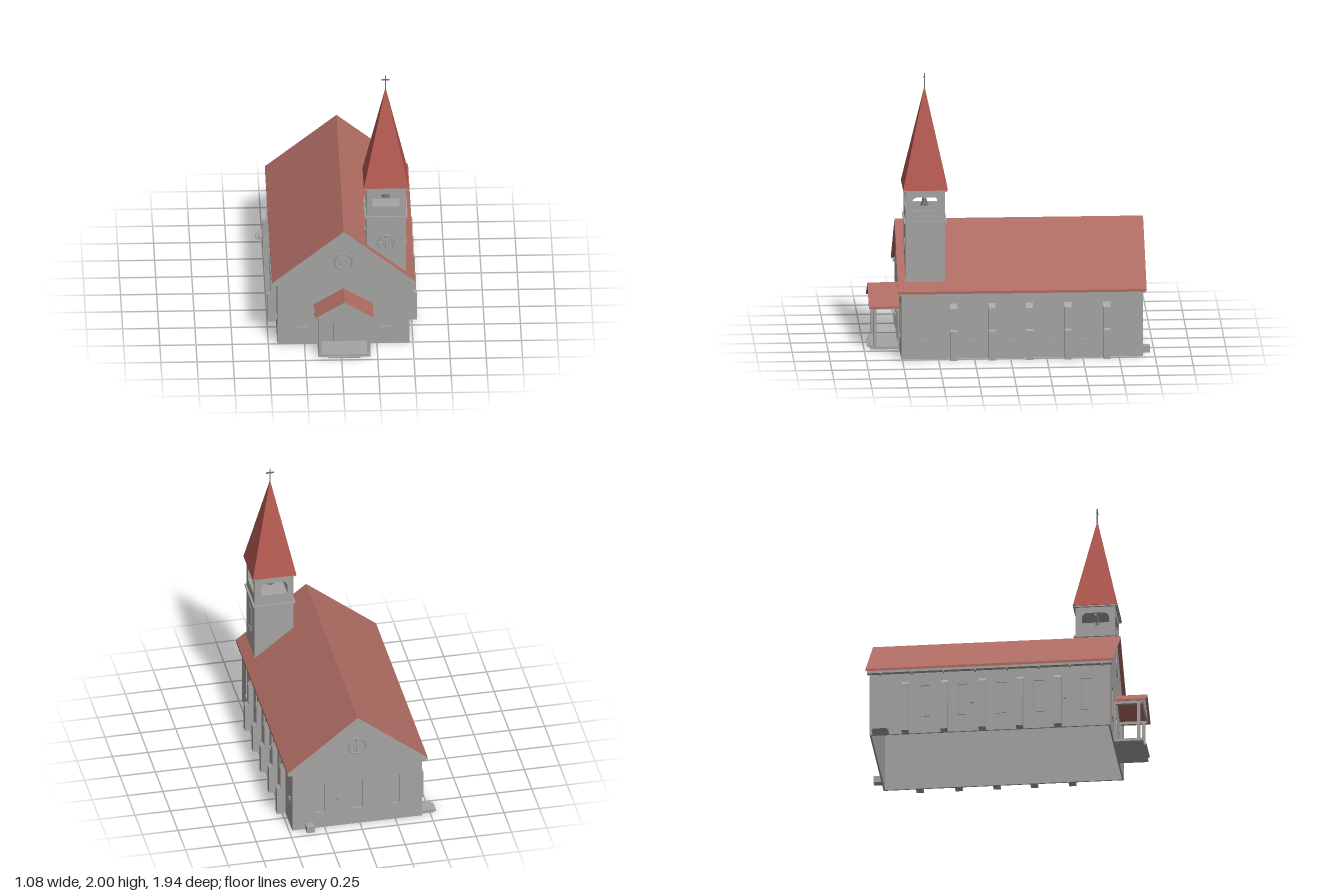
import * as THREE from 'three';

const mat = (name, color) => {
  const m = new THREE.MeshStandardMaterial({ color });
  m.name = name;
  return m;
};

export function createModel() {
  const stone = mat('stone', 0xa5a4a2);
  const roofRed = mat('roofTile', 0xad6b62);
  const spireRed = mat('spireTile', 0xb45a51);
  const metal = mat('metal', 0x707070);
  const CX = 0.02, T = 0.012;
  const model = new THREE.Group();
  model.name = 'church';

  const add = (parent, name, geo, material, x = 0, y = 0, z = 0) => {
    const m = new THREE.Mesh(geo, material);
    m.name = name;
    m.position.set(x, y, z);
    parent.add(m);
    return m;
  };
  // Box given by its extents
  const box = (parent, name, [x0, x1], [y0, y1], [z0, z1], material = stone) =>
    add(parent, name, new THREE.BoxGeometry(x1 - x0, y1 - y0, z1 - z0), material,
      (x0 + x1) / 2, (y0 + y1) / 2, (z0 + z1) / 2);
  const shapeOf = pts => new THREE.Shape(pts.map(p => new THREE.Vector2(...p)));
  const extrude = (shape, depth) =>
    new THREE.ExtrudeGeometry(shape, { depth, bevelEnabled: false, curveSegments: 10 });
  const group = (name, x, y, z, turn = 0, parent = model) => {
    const g = new THREE.Group();
    g.name = name;
    g.position.set(x, y, z);
    g.rotation.y = turn;
    parent.add(g);
    return g;
  };

  // Wall facing local +z with recessed rectangular windows [x, y0, y1, width]
  const wall = (name, outline, windows, x, z, turn) => {
    const g = group(name, x, 0, z, turn);
    const s = shapeOf(outline);
    for (const [wx, y0, y1, w] of windows) {
      const a = wx - w / 2, b = wx + w / 2;
      s.holes.push(new THREE.Path([[a, y0], [a, y1], [b, y1], [b, y0]].map(p => new THREE.Vector2(...p))));
      box(g, 'windowPane', [a, b], [y0, y1], [-T, -T + 0.004]);
      box(g, 'windowSill', [a, b], [y0 - 0.006, y0], [0, 0.006]);
    }
    add(g, name + 'Panel', extrude(s, T), stone, 0, 0, -T);
    return g;
  };
  const lamp = (parent, x, y) => box(parent, 'wallLamp', [x - 0.008, x + 0.008], [y - 0.013, y + 0.013], [0, 0.012]);
  // Round window with spokes
  const rose = (parent, x, y, r, z = 0) => {
    const g = group('roseWindow', x, y, z, 0, parent);
    add(g, 'roseRing', new THREE.TorusGeometry(r, 0.006, 6, 24), stone);
    add(g, 'roseHub', new THREE.TorusGeometry(r * 0.35, 0.004, 6, 16), stone);
    for (let i = 0; i < 4; i++) {
      add(g, 'roseSpoke', new THREE.BoxGeometry(r * 2, 0.005, 0.008), stone).rotation.z = i * Math.PI / 4;
    }
  };

  // Nave walls
  const H = 0.4575, FRONT = 0.755, BACK = -0.915, MID = (FRONT + BACK) / 2, L = (FRONT - BACK) / 2;
  const gable = [[-H, 0], [H, 0], [H, 0.495], [0, 0.865], [-H, 0.495]];
  const sideOutline = [[-L, 0], [L, 0], [L, 0.495], [-L, 0.495]];
  const front = wall('frontWall', gable, [[-0.29, 0.13, 0.36, 0.075], [0.29, 0.13, 0.36, 0.075]], CX, FRONT, 0);
  const back = wall('backWall', gable, [-0.265, 0, 0.265].map(x => [x, 0.13, 0.36, 0.075]), CX, BACK, Math.PI);
  for (const w of [front, back]) rose(w, 0, 0.64, 0.06);
  for (const x of [-0.118, 0.118]) lamp(front, x, 0.215);
  for (const x of [-0.13, 0.13]) lamp(back, x, 0.225);

  const windowZ = [0.59, 0.26, 0, -0.265, -0.53];
  const buttress = extrude(shapeOf([[0, 0], [0.06, 0], [0.06, 0.205], [0.035, 0.215],
    [0.035, 0.365], [0, 0.395]]), 0.05);
  for (const s of [1, -1]) {
    const local = z => -s * (z - MID);
    const w = wall(s > 0 ? 'leftWall' : 'rightWall', sideOutline,
      windowZ.map(z => [local(z), 0.13, 0.36, 0.07]), CX + s * H, MID, s * Math.PI / 2);
    for (const z of [0.44, -0.2, -0.85]) if (s > 0 || z > -0.5) lamp(w, local(z), 0.225);
    for (const z of [0.395, 0.13, -0.13, -0.395, -0.665]) {
      const b = add(model, 'buttress', buttress, stone, CX + s * H, 0, z - s * 0.025);
      if (s < 0) b.rotation.y = Math.PI;
    }
    // Eave gutter
    const e = [CX + s * H, CX + s * 0.488].sort((a, b) => a - b);
    box(model, 'eaveGutter', e, [0.458, 0.482], [-0.93, 0.77]);
    for (let i = 0; i < 8; i++) {
      const z = 0.7 - i * 0.22;
      box(model, 'eaveBracket', e, [0.448, 0.458], [z - 0.005, z + 0.005]);
    }
  }
  box(model, 'meterBox', [CX + H, CX + H + 0.012], [0.08, 0.11], [-0.61, -0.59]);

  // Chevron roof: tiled slopes with plain gable trim
  const chevron = (name, half, eave, ridge, t, z0, z1) =>
    add(model, name, extrude(shapeOf([[-half, eave - t], [0, ridge - t], [half, eave - t],
      [half, eave], [0, ridge], [-half, eave]]), z1 - z0), [stone, roofRed], CX, 0, z0);
  chevron('mainRoof', 0.495, 0.49, 0.885, 0.018, -0.94, 0.78);

  // Porch
  chevron('porchRoof', 0.203, 0.31, 0.432, 0.014, 0.755, 0.967);
  add(model, 'porchPediment', extrude(shapeOf([[-0.178, 0.298], [0.178, 0.298], [0.178, 0.308], [0, 0.42],
    [-0.178, 0.308]]), 0.012), stone, CX, 0, 0.94);
  for (const s of [1, -1]) {
    const x = CX + s * 0.169;
    box(model, 'porchPost', [x - 0.011, x + 0.011], [0.02, 0.3], [0.914, 0.936]);
    box(model, 'porchPilaster', [x - 0.011, x + 0.011], [0.02, 0.3], [0.755, 0.765]);
    box(model, 'porchBeam', [x - 0.011, x + 0.011], [0.285, 0.305], [0.755, 0.945]);
  }
  box(model, 'porchFloor', [CX - 0.18, CX + 0.18], [0, 0.02], [0.755, 0.955]);
  box(model, 'porchStep', [CX - 0.11, CX + 0.11], [0, 0.01], [0.955, 0.972]);
  const arch = new THREE.Shape();
  arch.moveTo(-0.068, 0.02);
  arch.lineTo(0.068, 0.02);
  arch.lineTo(0.068, 0.167);
  arch.absarc(0, 0.167, 0.068, 0, Math.PI, false);
  arch.closePath();
  add(model, 'frontDoor', extrude(arch, 0.007), stone, CX, 0, FRONT);

  // Side door with steps, and a box at the back
  box(model, 'sideDoor', [CX - H - 0.007, CX - H], [0.022, 0.24], [-0.87, -0.8]);
  box(model, 'sideLanding', [-0.525, CX - H], [0, 0.022], [-0.893, -0.78]);
  box(model, 'sideStep', [-0.545, -0.525], [0, 0.011], [-0.885, -0.788]);
  box(model, 'backBox', [0.33, 0.385], [0, 0.048], [-0.97, BACK]);

  // Tower shaft
  const tower = group('tower', 0.315, 0, 0.588);
  const R = 0.137;
  box(tower, 'towerShaft', [-R, R], [0.545, 0.97], [-R, R]);
  box(tower, 'towerLedge', [-0.149, 0.149], [0.962, 0.976], [-0.149, 0.149]);
  for (let i = 0; i < 4; i++) {
    const face = group('towerFace', 0, 0, 0, i * Math.PI / 2, tower);
    if (i === 0) rose(face, 0, 0.77, 0.055, R);
    else {
      const y0 = i === 1 ? 0.71 : 0.825, y1 = i === 1 ? 0.885 : 0.935;
      box(face, 'towerWindow', [-0.036, 0.036], [y0, y1], [R, R + 0.004]);
      box(face, 'towerSill', [-0.04, 0.04], [y0 - 0.006, y0], [R, R + 0.008]);
    }
    // Open belfry side with chamfered opening
    const w = i % 2 ? R - 0.02 : R;
    const s = shapeOf([[-w, 0.97], [w, 0.97], [w, 1.195], [-w, 1.195]]);
    s.holes.push(new THREE.Path([[-0.094, 1.05], [-0.094, 1.115], [-0.085, 1.135], [-0.065, 1.147], [0.065, 1.147],
      [0.085, 1.135], [0.094, 1.115], [0.094, 1.05]].map(p => new THREE.Vector2(...p))));
    add(face, 'belfryWall', extrude(s, 0.02), stone, 0, 0, R - 0.02);
  }

  // Bell
  const bell = [[0.001, 1.135], [0.012, 1.13], [0.016, 1.1], [0.02, 1.08], [0.03, 1.06], [0.026, 1.06], [0.001, 1.08]];
  add(tower, 'bell', new THREE.LatheGeometry(bell.map(p => new THREE.Vector2(...p)).reverse(), 16), metal);
  box(tower, 'bellBeam', [-0.12, 0.12], [1.135, 1.15], [-0.008, 0.008]);

  // Spire and cross
  box(tower, 'spireBase', [-0.15, 0.15], [1.19, 1.2], [-0.15, 0.15]);
  const cone = new THREE.ConeGeometry(0.155 * Math.SQRT2, 0.71, 4).toNonIndexed();
  cone.rotateY(Math.PI / 4);
  cone.computeVertexNormals();
  add(tower, 'spire', cone, spireRed, 0, 1.555, 0);
  box(tower, 'crossUpright', [-0.004, 0.004], [1.89, 2], [-0.004, 0.004], metal);
  box(tower, 'crossArm', [-0.027, 0.027], [1.966, 1.974], [-0.004, 0.004], metal);

  return model;
}
